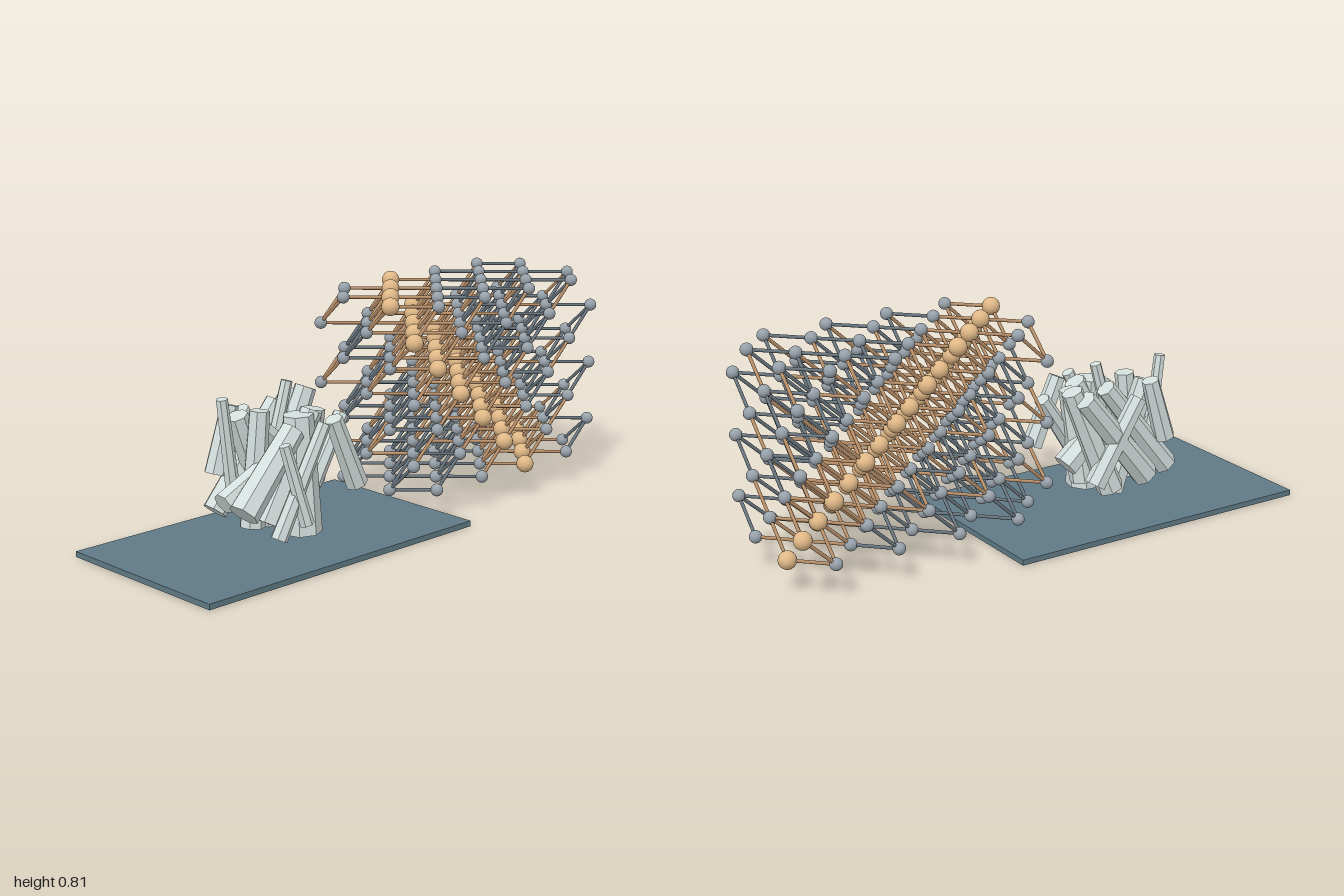
import * as THREE from 'three';

const mat = (color, extra = {}) => new THREE.MeshStandardMaterial({ color, ...extra });
const UP = new THREE.Vector3(0, 1, 0);

// Cylinder-like mesh placed between two points
function rod(name, geometry, material, a, b) {
  const mesh = new THREE.Mesh(geometry, material);
  const dir = b.clone().sub(a);
  mesh.name = name;
  mesh.position.copy(a).add(b).multiplyScalar(0.5);
  mesh.quaternion.setFromUnitVectors(UP, dir.clone().normalize());
  mesh.scale.y = dir.length();
  return mesh;
}

// Cluster of tapered prisms: bottom x, y, z, top x, y, z, radius
const CRYSTALS = [
  [-0.66, 0.18, 0.12, -0.42, 0.42, 0.10, 0.055],
  [-0.60, 0.13, -0.10, -0.33, 0.47, -0.09, 0.045],
  [-0.55, 0.08, 0.17, -0.36, 0.45, 0.19, 0.03],
  [-0.47, 0.13, -0.15, -0.19, 0.47, -0.16, 0.05],
  [-0.50, 0.10, 0.05, -0.30, 0.46, 0.06, 0.05],
  [-0.57, 0.22, -0.04, -0.61, 0.535, -0.04, 0.026],
  [-0.40, 0.25, -0.05, -0.32, 0.55, -0.04, 0.026],
  [-0.36, 0.045, 0.08, -0.37, 0.46, 0.07, 0.068],
  [-0.20, 0.18, -0.03, -0.45, 0.40, -0.03, 0.05],
  [-0.19, 0.20, 0.17, -0.30, 0.45, 0.17, 0.04],
  [-0.33, 0.10, -0.13, -0.17, 0.49, -0.11, 0.05],
  [-0.38, 0.06, -0.06, -0.53, 0.46, -0.06, 0.05],
  [-0.30, 0.20, 0.06, -0.15, 0.42, 0.05, 0.036],
  [-0.57, 0.25, -0.13, -0.50, 0.48, -0.13, 0.04],
  [-0.52, 0.08, 0.00, -0.48, 0.48, 0.00, 0.045],
  [-0.67, 0.20, 0.03, -0.30, 0.38, 0.03, 0.04],
  [-0.24, 0.14, -0.16, -0.42, 0.44, -0.17, 0.04],
  [-0.45, 0.12, 0.20, -0.52, 0.40, 0.17, 0.026],
  [-0.30, 0.10, 0.00, -0.25, 0.45, 0.02, 0.05],
];

function buildCrystals() {
  const group = new THREE.Group();
  group.name = 'crystalCluster';
  const geometry = new THREE.CylinderGeometry(0.8, 1, 1, 7);
  const material = mat(0xd3dedc, { flatShading: true });
  for (const [ax, ay, az, bx, by, bz, r] of CRYSTALS) {
    const prism = rod('crystal', geometry, material,
      new THREE.Vector3(ax, ay, az), new THREE.Vector3(bx, by, bz));
    prism.scale.x = prism.scale.z = r;
    group.add(prism);
  }
  return group;
}

// Face-centred lattice: every other point of a 9 x 7 x 5 grid
function buildLattice() {
  const group = new THREE.Group();
  group.name = 'lattice';
  const size = [9, 7, 5];
  const grey = mat(0x98a2ab), tan = mat(0xe0b887);
  const bondGrey = mat(0x68747d), bondTan = mat(0xb78e68);
  const ball = new THREE.SphereGeometry(0.0225, 18, 12);
  const bigBall = new THREE.SphereGeometry(0.032, 18, 12);
  const bond = new THREE.CylinderGeometry(0.0062, 0.0062, 1, 8, 1, true);
  const at = (i, j, k) => new THREE.Vector3(
    0.022 + i * 0.118, 0.12 + j * 0.11, (k - 2) * 0.1178);
  const steps = [[1, 1, 0], [1, 0, 1], [0, 1, 1]];

  for (let i = 0; i < size[0]; i++)
    for (let j = 0; j < size[1]; j++)
      for (let k = 0; k < size[2]; k++) {
        const sum = i + j + k;
        if (sum % 2 === 0) continue;
        // Atoms on one slanted plane are larger and tan
        const onPlane = sum === 9;
        const atom = new THREE.Mesh(onPlane ? bigBall : ball, onPlane ? tan : grey);
        atom.name = onPlane ? 'planeAtom' : 'atom';
        atom.position.copy(at(i, j, k));
        group.add(atom);
        // Bonds along the three primitive directions
        for (const [di, dj, dk] of steps) {
          if (i + di >= size[0] || j + dj >= size[1] || k + dk >= size[2]) continue;
          const warm = sum === 9 || sum === 7 || (i % 2 === 0 && k % 2 === 0);
          group.add(rod('bond', bond, warm ? bondTan : bondGrey,
            at(i, j, k), at(i + di, j + dj, k + dk)));
        }
      }
  return group;
}

export function createModel() {
  const model = new THREE.Group();
  model.name = 'crystalLatticeDisplay';

  // Base slab under the crystals
  const slab = new THREE.Mesh(new THREE.BoxGeometry(1.195, 0.02, 0.7), mat(0x5f7a85));
  slab.name = 'baseSlab';
  slab.position.set(-0.4025, 0.01, 0);

  model.add(slab, buildCrystals(), buildLattice());
  return model;
}
